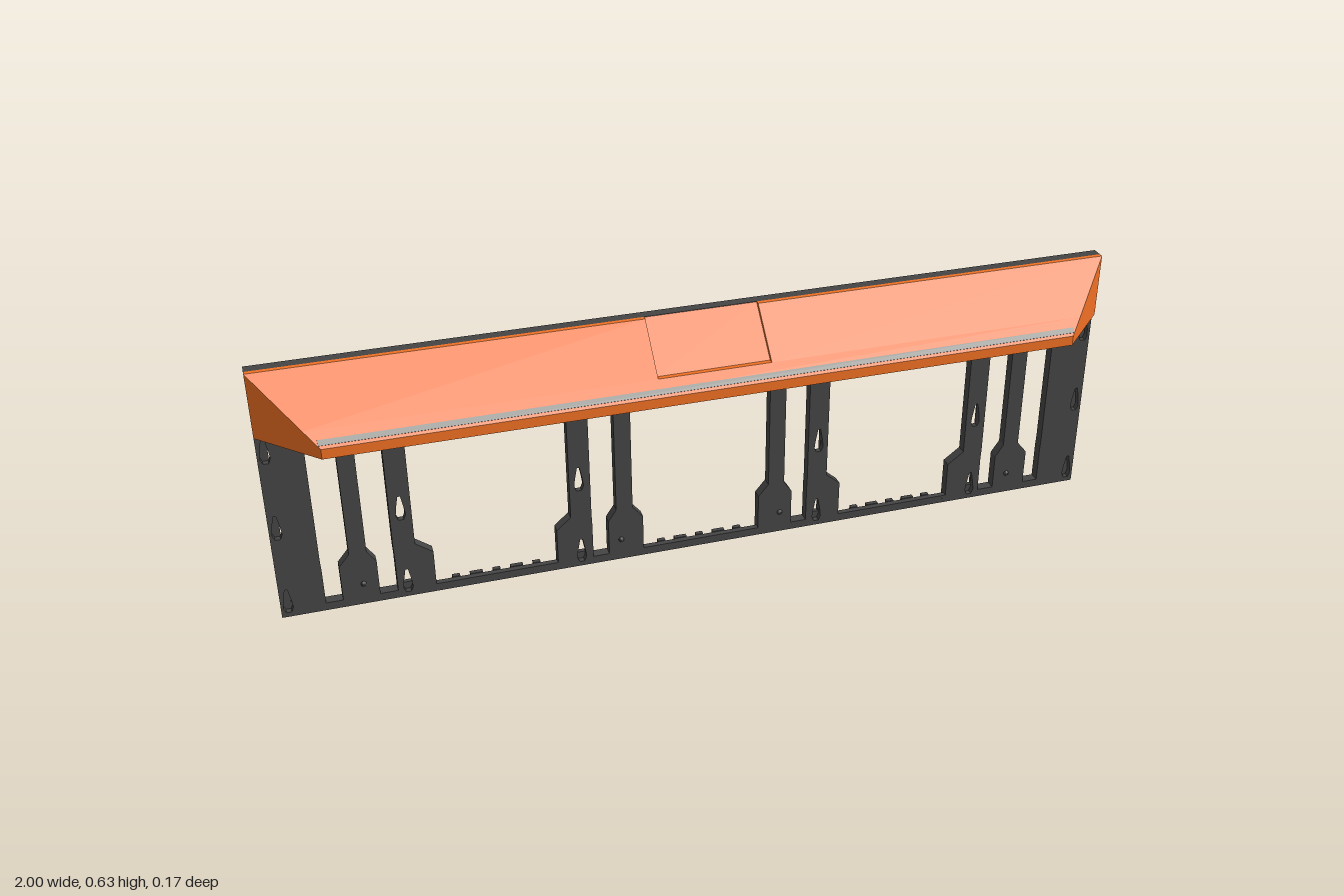
import * as THREE from 'three';

const dark = new THREE.MeshStandardMaterial({ color: 0x444444, flatShading: true });
const orange = new THREE.MeshStandardMaterial({ color: 0xf07024, flatShading: true, side: THREE.DoubleSide });
const grey = new THREE.MeshStandardMaterial({ color: 0x80807c });

const mirror = pts => pts.map(([x, y]) => [-x, y]);
const both = list => list.flatMap(p => [p, mirror(p)]);
const rect = (x0, x1, y0, y1) => [[x0, y0], [x1, y0], [x1, y1], [x0, y1]];
const toPts = pts => pts.map(([x, y]) => new THREE.Vector2(x, y));

function add(parent, name, geometry, material, x = 0, y = 0, z = 0) {
  const mesh = new THREE.Mesh(geometry, material);
  mesh.name = name;
  mesh.position.set(x, y, z);
  parent.add(mesh);
  return mesh;
}

// Flat sheet with holes, from z0 to z1
function sheet(outline, holes, z0, z1) {
  const shape = new THREE.Shape(toPts(outline));
  holes.forEach(h => shape.holes.push(new THREE.Path(toPts(h))));
  return new THREE.ExtrudeGeometry(shape, { depth: z1 - z0, bevelEnabled: false }).translate(0, 0, z0);
}

// Opening between two posts: shaft edges l, r and wider foot/head edges lf, rf
function bay(l, lf, r, rf, top, bottom) {
  return [[lf, bottom], [rf, bottom], [rf, 0.11], [r, 0.14], [r, 0.45], [rf, 0.475], [rf, top],
    [lf, top], [lf, 0.475], [l, 0.45], [l, 0.14], [lf, 0.11]];
}

function bays(wideBottom) {
  return [
    ...both([
      bay(-0.9, -0.899, -0.835, -0.86, 0.485, 0.02),
      bay(-0.795, -0.775, -0.735, -0.734, 0.485, 0.02),
      bay(-0.685, -0.645, -0.32, -0.355, 0.5, wideBottom),
      bay(-0.27, -0.269, -0.21, -0.23, 0.485, 0.02),
    ]),
    bay(-0.17, -0.145, 0.17, 0.145, 0.5, wideBottom),
  ];
}

// Teardrop fixing slot
const slot = (x, y) => [[x - 0.006, y - 0.03], [x + 0.006, y - 0.03], [x + 0.011, y - 0.018],
  [x + 0.009, y], [x + 0.003, y + 0.032], [x - 0.003, y + 0.032], [x - 0.009, y], [x - 0.011, y - 0.018]];

function wallFrame() {
  const g = new THREE.Group();
  g.name = 'wallFrame';

  // Front sheet with bays and slots
  const slots = [];
  for (const x of [-0.983, -0.71, -0.297]) for (const y of [0.042, 0.24, 0.437]) slots.push(slot(x, y));
  add(g, 'frontSheet', sheet(rect(-1, 1, 0, 0.635), [...bays(0.02), ...both(slots)], -0.072, -0.058), dark);

  // Back layer: post channels, foot pockets and header pockets
  const channels = [rect(-0.975, -0.957, 0.03, 0.47), rect(-0.94, -0.922, 0.03, 0.47)];
  for (const x of [-0.815, -0.71, -0.295, -0.19]) channels.push(rect(x - 0.011, x + 0.011, 0.03, 0.46));
  const pockets = [];
  for (let i = 0; i < 15; i++) {
    const x = -0.95 + i * 0.063;
    pockets.push(rect(x, x + (i % 3 === 1 ? 0.026 : 0.044), i % 2 ? 0.53 : 0.515, i % 3 ? 0.612 : 0.6));
  }
  const edge = [[1, 0], [1, 0.505], [0.985, 0.505], [0.985, 0.535], [1, 0.535], [1, 0.635]];
  const outline = [...edge, ...mirror(edge).reverse()];
  add(g, 'backLayer', sheet(outline, [...bays(0.01), ...both([...channels, ...pockets])], -0.083, -0.072), dark);

  // Small teeth along the bottom rail and under the header in the wide bays
  for (const cx of [-0.5, 0, 0.5]) {
    for (let i = -2; i <= 2; i++) {
      const w = i % 2 ? 0.03 : 0.018;
      add(g, 'railTooth', new THREE.BoxGeometry(w, 0.013, 0.011), dark, cx + i * 0.048, 0.0155, -0.0775);
      add(g, 'headerTooth', new THREE.BoxGeometry(w, 0.016, 0.011), dark, cx + i * 0.048, 0.494, -0.0775);
    }
  }

  // Knobs on the feet
  const knob = new THREE.SphereGeometry(0.007, 10, 8);
  for (const x of [-0.81, -0.2, 0.2, 0.81]) add(g, 'footKnob', knob, dark, x, 0.055, -0.059);
  return g;
}

// Hollow hipped canopy; rows are [half width, y, z]
function canopyGeometry() {
  const pos = [];
  const quad = (a, b, c, d) => pos.push(...a, ...b, ...c, ...a, ...c, ...d);
  const flip = ([x, y, z]) => [-x, y, z];
  const span = (a, b) => quad(flip(a), a, b, flip(b));
  const pair = (a, b, c, d) => {
    quad(a, b, c, d);
    quad(flip(d), flip(c), flip(b), flip(a));
  };
  const eave = [0.87, 0.48, 0.084], lip = [0.87, 0.504, 0.084], mid = [0.901, 0.535, 0.053];
  const ridge = [1, 0.635, -0.047], back = [1, 0.635, -0.058];
  const ridgeLow = [1, 0.48, -0.047], backLow = [1, 0.48, -0.058];
  const inEave = [0.865, 0.48, 0.072], inLip = [0.865, 0.492, 0.072];
  const inTop = [0.983, 0.622, -0.058], inLow = [0.983, 0.48, -0.058];
  const h = 0.132;
  const hatchLow = [h, 0.535, 0.053], hatchTop = [h, 0.635, -0.047];
  const floorLow = [h, 0.535, 0.041], floorTop = [h, 0.635, -0.059];

  // Fascia, slope around the hatch, ridge
  span(eave, lip);
  span(lip, mid);
  pair(hatchLow, mid, ridge, hatchTop);
  pair(hatchTop, ridge, back, [h, 0.635, -0.058]);
  // Sunken hatch
  span(hatchLow, floorLow);
  span(floorLow, floorTop);
  pair(hatchLow, hatchTop, floorTop, floorLow);
  // Hipped ends
  pair(eave, ridgeLow, ridge, lip);
  pair(ridgeLow, backLow, back, ridge);
  // Inner faces and rims
  span(inLip, inEave);
  span(inTop, inLip);
  pair(inLow, inEave, inLip, inTop);
  span(inEave, eave);
  pair(eave, inEave, inLow, ridgeLow);
  pair(ridgeLow, inLow, inLow, backLow);
  pair(backLow, inLow, inTop, back);
  span(back, inTop);

  const geo = new THREE.BufferGeometry();
  geo.setAttribute('position', new THREE.Float32BufferAttribute(pos, 3));
  geo.computeVertexNormals();
  return geo;
}

function canopy() {
  const g = new THREE.Group();
  g.name = 'canopy';
  add(g, 'canopyShell', canopyGeometry(), orange);

  // Trim strip along the slope
  const strip = add(g, 'trimStrip', new THREE.BoxGeometry(1.75, 0.013, 0.003), grey, 0, 0.514, 0.074);
  strip.rotation.x = -Math.PI / 4;

  // Triangular braces inside
  for (const x of [-0.25, 0.25]) {
    const brace = sheet([[0.072, 0.49], [0, 0.485], [0, 0.563]], [], -0.006, 0.006).rotateY(-Math.PI / 2);
    add(g, 'brace', brace, orange, x);
  }
  return g;
}

export function createModel() {
  const model = new THREE.Group();
  model.name = 'canopyWall';
  model.add(wallFrame(), canopy());
  return model;
}
